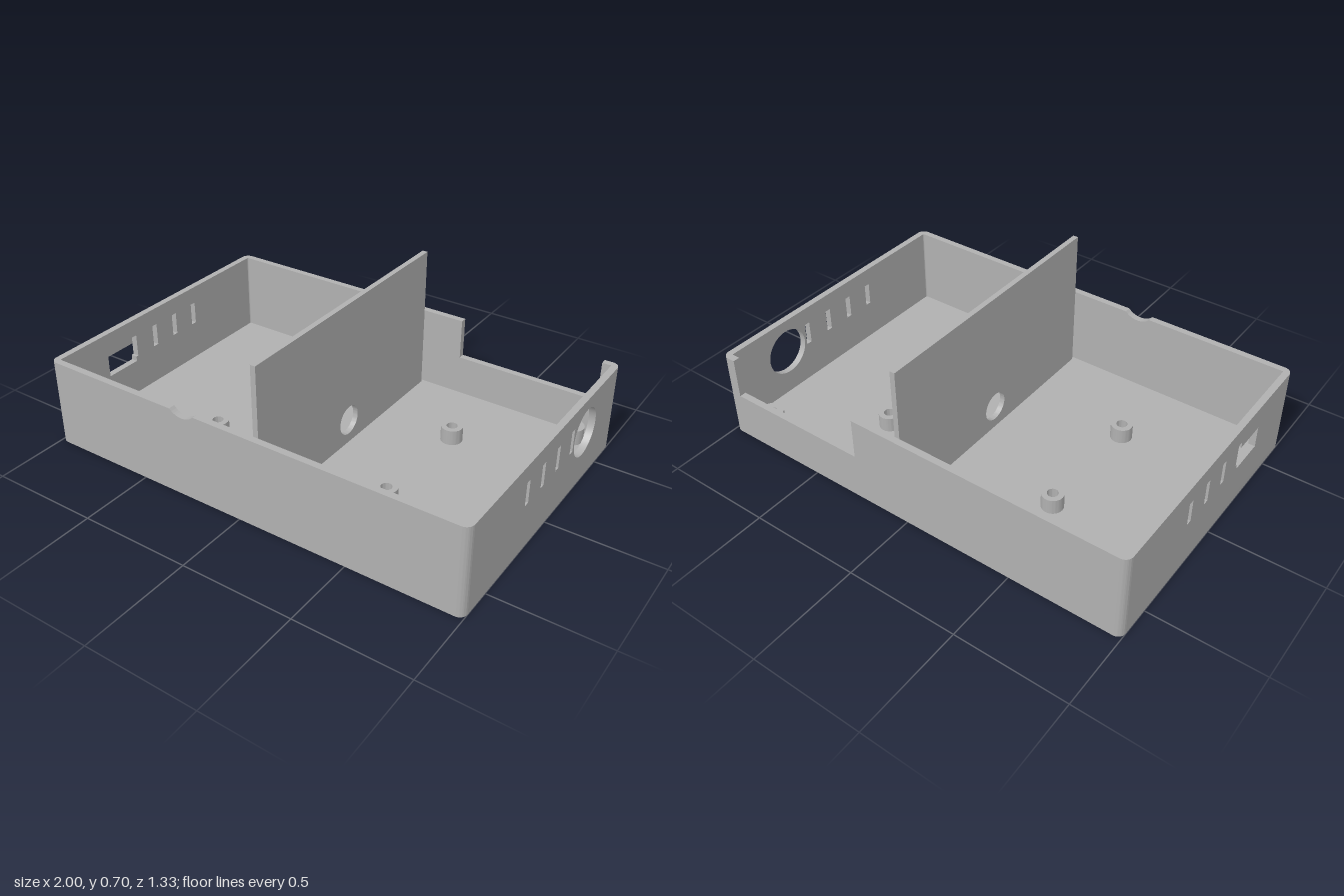
import * as THREE from 'three';
import { toCreasedNormals } from 'three/addons/utils/BufferGeometryUtils.js';

// Outer half sizes, height, wall thickness and corner radius
const HX = 1, HZ = 0.665, TOP = 0.4, T = 0.03, R = 0.035;
const CX = HX - R, CZ = HZ - R;

const poly = pts => new THREE.Shape(pts.map(p => new THREE.Vector2(p[0], p[1])));
const rect = (u0, u1, v0, v1) => poly([[u0, v0], [u1, v0], [u1, v1], [u0, v1]]);
const circle = (u, v, r) => new THREE.Shape().absarc(u, v, r, 0, Math.PI * 2, false);

function extrude(shape, depth, holes = []) {
  shape.holes.push(...holes);
  const g = new THREE.ExtrudeGeometry(shape, { depth, bevelEnabled: false, curveSegments: 32 });
  return toCreasedNormals(g, 0.6);
}

export function createModel() {
  const model = new THREE.Group();
  model.name = 'enclosureBase';
  const grey = new THREE.MeshStandardMaterial({ color: 0xb0b0b0 });
  grey.name = 'grey plastic';

  const add = (name, geometry) => {
    const mesh = new THREE.Mesh(geometry, grey);
    mesh.name = name;
    model.add(mesh);
  };
  // Plan outlines (x, -z) are raised upward from y0
  const raise = (g, y0) => g.rotateX(-Math.PI / 2).translate(0, y0, 0);
  // Side outlines (z, y) are extruded toward -x from x1
  const sideways = (g, x1) => g.rotateY(-Math.PI / 2).translate(x1, 0, 0);

  // Screw posts: x, z, outer radius
  const posts = [[0.862, -0.565, 0.053]];
  for (const x of [-0.434, 0.434]) for (const z of [-0.268, 0.268]) posts.push([x, z, 0.048]);
  const bore = ([x, z]) => circle(x, -z, 0.024);

  // Floor with rounded corners and screw holes
  const plan = new THREE.Shape();
  plan.absarc(CX, CZ, R, 0, Math.PI / 2, false);
  plan.absarc(-CX, CZ, R, Math.PI / 2, Math.PI, false);
  plan.absarc(-CX, -CZ, R, Math.PI, Math.PI * 1.5, false);
  plan.absarc(CX, -CZ, R, Math.PI * 1.5, Math.PI * 2, false);
  plan.closePath();
  add('floor', raise(extrude(plan, T, posts.map(bore)), 0));
  posts.forEach(p => add('screwPost', raise(extrude(circle(p[0], -p[1], p[2]), 0.07, [bore(p)]), T)));

  // Rounded corners of the wall
  [[CX, CZ], [-CX, CZ], [-CX, -CZ], [CX, -CZ]].forEach(([x, y], i) => {
    const a = i * Math.PI / 2, b = a + Math.PI / 2;
    const s = new THREE.Shape();
    s.absarc(x, y, R, a, b, false);
    s.absarc(x, y, R - T, b, a, true);
    s.closePath();
    add('wallCorner', raise(extrude(s, TOP - T), T));
  });

  // Front wall with a shallow cable notch in its rim
  const front = new THREE.Shape();
  const nr = 0.0845, ny = TOP - 0.025 + nr, na = Math.asin(0.06 / nr);
  front.moveTo(-CX, T).lineTo(CX, T).lineTo(CX, TOP).lineTo(-0.21, TOP);
  front.absarc(-0.27, ny, nr, -Math.PI / 2 + na, -Math.PI / 2 - na, true);
  front.lineTo(-CX, TOP);
  front.closePath();
  add('frontWall', extrude(front, T).translate(0, 0, HZ - T));

  // Back wall with a wide cut-out
  add('backWall', extrude(poly([
    [-CX, T], [CX, T], [CX, TOP], [0.93, TOP], [0.93, 0.213], [0.263, 0.213], [0.263, TOP], [-CX, TOP],
  ]), T).translate(0, 0, -HZ));

  // Side walls with vent slots
  const slot = z => rect(z - 0.014, z + 0.014, 0.213, 0.319);
  const vents = [-0.067, 0.067];
  add('leftWall', sideways(extrude(rect(-CZ, CZ, T, TOP), T, [
    ...[-0.202, ...vents, 0.202].map(slot), circle(-0.335, 0.24, 0.108),
  ]), HX));
  // The last slot on this side runs into the rectangular port
  const port = poly([
    [0.188, 0.213], [0.2, 0.213], [0.2, 0.19], [0.37, 0.19],
    [0.37, 0.29], [0.216, 0.29], [0.216, 0.319], [0.188, 0.319],
  ]);
  add('rightWall', sideways(extrude(rect(-CZ, CZ, T, TOP), T, [
    ...[-0.202, ...vents].map(slot), port,
  ]), -HX + T));

  // Tall divider with a cable hole
  add('divider', sideways(extrude(rect(-0.62, 0.62, T, 0.7), 0.024, [circle(0, 0.14, 0.067)]), 0.076));

  return model;
}
